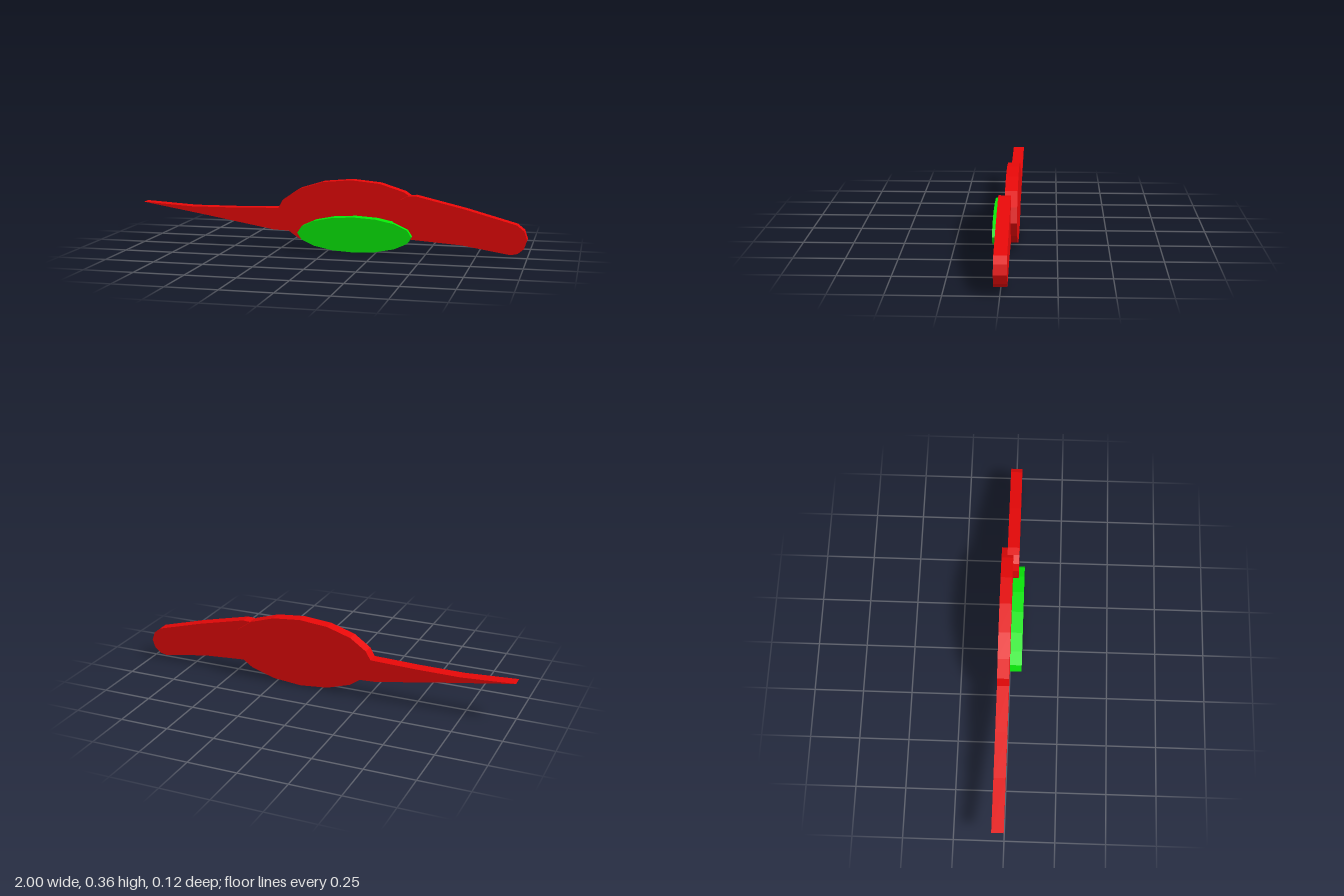
import * as THREE from 'three';

const red = new THREE.MeshStandardMaterial({ color: 0xe80808 });
red.name = 'red';
const green = new THREE.MeshStandardMaterial({ color: 0x08e808 });
green.name = 'green';

const THICKNESS = 0.06;

// Points on an ellipse, counter-clockwise, from step a to step b of 16
function ellipse(cx, cy, rx, ry, a, b) {
  const points = [];
  for (let i = a; i <= b; i++) {
    const t = (i / 16) * Math.PI * 2;
    points.push([cx + rx * Math.cos(t), cy + ry * Math.sin(t)]);
  }
  return points;
}

// Flat slab cut from an outline, with its back at the given z
function slab(name, outline, backZ, material) {
  const shape = new THREE.Shape(outline.map(([x, y]) => new THREE.Vector2(x, y)));
  const geometry = new THREE.ExtrudeGeometry(shape, { depth: THICKNESS, bevelEnabled: false });
  const mesh = new THREE.Mesh(geometry, material);
  mesh.name = name;
  mesh.position.z = backZ;
  return mesh;
}

export function createModel() {
  const group = new THREE.Group();
  group.name = 'layeredCreature';

  // Oval body running into a long pointed tail
  const bodyAndTail = [
    ...ellipse(0.115, 0.18, 0.385, 0.18, -6, 7),
    [-0.265, 0.206], [-0.5, 0.199], [-0.73, 0.197], [-1, 0.212],
    [-0.64, 0.153], [-0.29, 0.093], [-0.21, 0.09],
  ];
  group.add(slab('bodyAndTail', bodyAndTail, -0.06, red));

  // Tapering rounded head
  const head = [
    [0.43, 0.075], [0.68, 0.058], [0.92, 0.02], [0.955, 0.027], [0.985, 0.052],
    [1, 0.095], [0.985, 0.14], [0.95, 0.168], [0.7, 0.236], [0.45, 0.294],
    [0.41, 0.292], [0.37, 0.272], [0.345, 0.235], [0.335, 0.175],
    [0.35, 0.12], [0.38, 0.09],
  ];
  group.add(slab('head', head, -0.03, red));

  // Oval wing on the front
  group.add(slab('wing', ellipse(0.143, 0.092, 0.292, 0.089, 0, 15), 0, green));

  return group;
}
